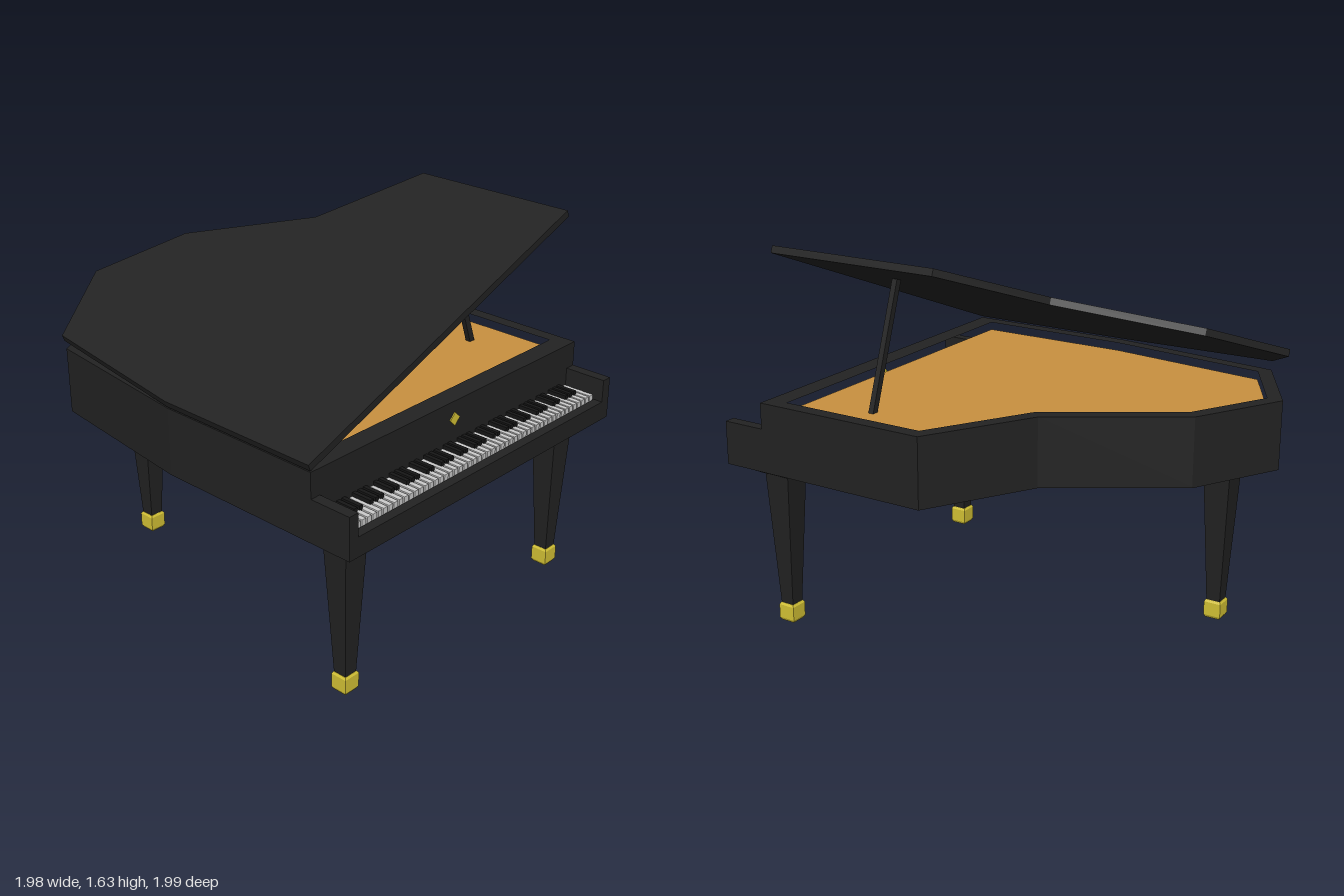
import * as THREE from 'three';

const mat = (color) => new THREE.MeshStandardMaterial({ color });
const black = mat(0x222222), ebony = mat(0x161616), ivory = mat(0xdddddd);
const gold = mat(0xd4c235), wood = mat(0xc8903f);

// Plan of the case as [x, z], without the keyboard shelf
const FRONT = 0.595, LEFT = -0.836, RIGHT = 0.79, EDGE = 0.785;
const plan = [
  [LEFT, FRONT], [RIGHT, FRONT], [RIGHT, -0.173], [0.346, -0.43],
  [0.018, -0.943], [-0.36, -1.149], [-0.745, -0.939], [LEFT, -0.183],
];

// Moves every side of the plan inwards by its own distance
function inset(points, distance) {
  const n = points.length;
  const lines = points.map(([x, z], i) => {
    const [x2, z2] = points[(i + 1) % n];
    const len = Math.hypot(x2 - x, z2 - z);
    const nx = (z2 - z) / len, nz = -(x2 - x) / len;
    return { nx, nz, c: nx * x + nz * z + distance(i) };
  });
  return lines.map((b, i) => {
    const a = lines[(i + n - 1) % n];
    const det = a.nx * b.nz - a.nz * b.nx;
    return [(a.c * b.nz - a.nz * b.c) / det, (a.nx * b.c - a.c * b.nx) / det];
  });
}

const toVectors = (points) => points.map(([x, z]) => new THREE.Vector2(x, z));

// Flat slab with the given plan between two heights
function slab(name, points, bottom, top, material, hole) {
  const shape = new THREE.Shape(toVectors(points));
  if (hole) shape.holes.push(new THREE.Path(toVectors(hole)));
  const geo = new THREE.ExtrudeGeometry(shape, { depth: top - bottom, bevelEnabled: false });
  geo.rotateX(Math.PI / 2).translate(0, top, 0);
  const mesh = new THREE.Mesh(geo, material);
  mesh.name = name;
  return mesh;
}

// Box given by its limits on each axis
function box(name, [x0, x1], [y0, y1], [z0, z1], material) {
  const mesh = new THREE.Mesh(new THREE.BoxGeometry(x1 - x0, y1 - y0, z1 - z0), material);
  mesh.position.set((x0 + x1) / 2, (y0 + y1) / 2, (z0 + z1) / 2);
  mesh.name = name;
  return mesh;
}

// Square tapered block
function taper(name, bottomWidth, topWidth, y0, y1, material) {
  const geo = new THREE.CylinderGeometry(topWidth * Math.SQRT1_2, bottomWidth * Math.SQRT1_2, y1 - y0, 4);
  geo.rotateY(Math.PI / 4);
  const flat = geo.toNonIndexed();
  flat.computeVertexNormals();
  const mesh = new THREE.Mesh(flat, material);
  mesh.position.y = (y0 + y1) / 2;
  mesh.name = name;
  return mesh;
}

function makeLeg(name, x, z) {
  const leg = new THREE.Group();
  leg.name = name;
  leg.add(
    taper('legPlate', 0.21, 0.21, 0.695, 0.725, black),
    taper('legCollar', 0.14, 0.21, 0.675, 0.695, black),
    taper('legShaft', 0.06, 0.12, 0.07, 0.69, black),
    taper('brassFootTop', 0.076, 0.064, 0.072, 0.082, gold),
    taper('brassFoot', 0.076, 0.076, 0.012, 0.072, gold),
    taper('brassFootBase', 0.064, 0.076, 0, 0.012, gold),
  );
  leg.position.set(x, 0, z);
  return leg;
}

function makeKeyboard() {
  const keyboard = new THREE.Group();
  keyboard.name = 'keyboard';
  const count = 52, start = -0.783, pitch = 1.524 / count;
  const hasSharp = [true, false, true, true, false, true, true]; // from A upwards
  for (let i = 0; i < count; i++) {
    const x = start + i * pitch;
    keyboard.add(box('whiteKey', [x + 0.004, x + pitch - 0.004], [0.79, 0.828], [FRONT - 0.005, 0.74], ivory));
    if (hasSharp[i % 7] && i < count - 1) {
      keyboard.add(box('blackKey', [x + pitch - 0.009, x + pitch + 0.009], [0.8, 0.845], [FRONT - 0.005, 0.685], ebony));
    }
  }
  return keyboard;
}

function makeLid() {
  const lid = new THREE.Group();
  lid.name = 'lid';
  lid.add(slab('lidPanel', plan.map(([x, z]) => [x - LEFT, z]), 0, 0.03, black));
  lid.position.set(LEFT, 1.02, 0);
  lid.rotation.z = THREE.MathUtils.degToRad(21);
  return lid;
}

// Stick between the soundboard and the raised lid
function makeProp() {
  const from = new THREE.Vector3(0.565, 0.97, 0.206), to = new THREE.Vector3(0.385, 1.488, 0.206);
  const prop = new THREE.Mesh(new THREE.BoxGeometry(0.028, from.distanceTo(to), 0.024), black);
  prop.position.copy(from).add(to).multiplyScalar(0.5);
  prop.rotation.z = Math.atan2(from.x - to.x, to.y - from.y);
  prop.name = 'lidProp';
  return prop;
}

export function createModel() {
  const model = new THREE.Group();
  model.name = 'grandPiano';

  // Case: hollow rim, closed bottom and soundboard
  const inner = inset(plan, (i) => (i === 0 ? 0.09 : 0.06));
  model.add(
    slab('rim', plan, 0.725, 1.015, black, inner),
    slab('bottomBoard', plan, 0.72, 0.725, black),
    slab('soundboard', inner, 0.95, 0.98, wood),
  );

  // Keyboard shelf with its arms
  model.add(
    box('keyBed', [LEFT, RIGHT], [0.72, 0.795], [FRONT, EDGE], black),
    box('keySlip', [LEFT, RIGHT], [0.79, 0.805], [0.743, EDGE], black),
    box('leftArm', [RIGHT - 0.047, RIGHT], [0.79, 0.905], [FRONT, EDGE], black),
    box('rightArm', [LEFT, LEFT + 0.047], [0.79, 0.905], [FRONT, EDGE], black),
    makeKeyboard(),
  );

  // Diamond ornament above the keys
  const diamond = box('diamondOrnament', [-0.021, 0.021], [-0.021, 0.021], [-0.005, 0.005], gold);
  diamond.position.set(-0.022, 0.938, FRONT);
  diamond.rotation.z = Math.PI / 4;
  model.add(diamond, makeLid(), makeProp());

  model.add(
    makeLeg('frontRightLeg', -0.676, 0.614),
    makeLeg('frontLeftLeg', 0.632, 0.614),
    makeLeg('backLeg', -0.37, -0.9),
  );

  // The instrument stands turned on its spot
  model.rotation.y = 0.287;
  const root = new THREE.Group();
  root.name = 'piano';
  root.add(model);
  return root;
}
